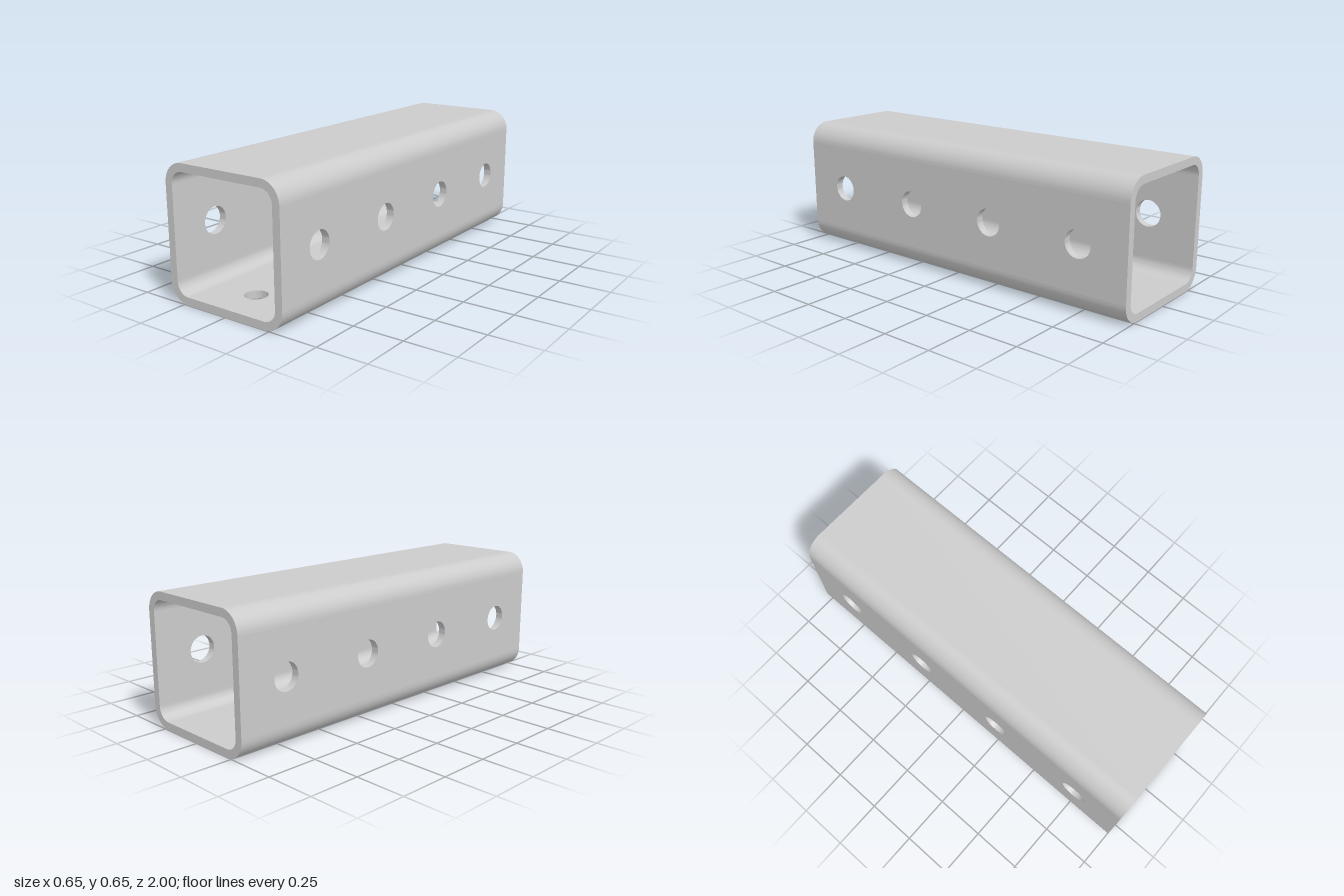
import * as THREE from 'three';
import { toCreasedNormals } from 'three/addons/utils/BufferGeometryUtils.js';

const LENGTH = 2, SIZE = 0.652, WALL = 0.039, RADIUS = 0.101;
const HALF = SIZE / 2;
const FLAT = HALF - RADIUS; // half width of the flat part of each wall

// Remove the faces where a wall butts against the rounded corners
function dropSeams(geometry) {
  const p = geometry.attributes.position;
  const kept = [];
  for (let i = 0; i < p.count; i += 3) {
    const onSeam = [0, 1, 2].every((k) => Math.abs(Math.abs(p.getX(i + k)) - FLAT) < 1e-5)
      && Math.abs(p.getX(i) - p.getX(i + 1)) < 1e-5 && Math.abs(p.getX(i) - p.getX(i + 2)) < 1e-5;
    if (onSeam) continue;
    for (let k = 0; k < 3; k++) kept.push(p.getX(i + k), p.getY(i + k), p.getZ(i + k));
  }
  const result = new THREE.BufferGeometry();
  result.setAttribute('position', new THREE.Float32BufferAttribute(kept, 3));
  return result;
}

// Flat wall with round holes, turned about the tube's axis from the top position
function wallGeometry(angle, holes, radius) {
  const shape = new THREE.Shape([
    new THREE.Vector2(-FLAT, -LENGTH / 2),
    new THREE.Vector2(FLAT, -LENGTH / 2),
    new THREE.Vector2(FLAT, LENGTH / 2),
    new THREE.Vector2(-FLAT, LENGTH / 2),
  ]);
  for (const z of holes) {
    shape.holes.push(new THREE.Path().absarc(0, -z, radius, 0, Math.PI * 2, true));
  }
  const slab = new THREE.ExtrudeGeometry(shape, { depth: WALL, bevelEnabled: false, curveSegments: 24 });
  return toCreasedNormals(dropSeams(slab), 0.6)
    .translate(0, 0, HALF - WALL)
    .rotateX(-Math.PI / 2)
    .rotateZ(angle)
    .translate(0, HALF, 0);
}

// Quarter-round corner running the whole length
function cornerGeometry(angle) {
  const inner = RADIUS - WALL, h = LENGTH / 2;
  const profile = [[RADIUS, -h], [RADIUS, h], [inner, h], [inner, -h], [RADIUS, -h]]
    .map(([r, y]) => new THREE.Vector2(r, y));
  const quarter = new THREE.LatheGeometry(profile, 16, 0, Math.PI / 2);
  return toCreasedNormals(quarter, 0.6)
    .rotateX(Math.PI / 2)
    .translate(FLAT, -FLAT, 0)
    .rotateZ(angle)
    .translate(0, HALF, 0);
}

export function createModel() {
  const group = new THREE.Group();
  group.name = 'squareTube';
  const material = new THREE.MeshStandardMaterial({ color: 0xcccccc });
  const add = (name, geometry) => {
    const mesh = new THREE.Mesh(geometry, material);
    mesh.name = name;
    group.add(mesh);
  };

  // Walls: four holes through each side, one smaller hole underneath
  const sideHoles = [-0.75, -0.25, 0.25, 0.75];
  add('topWall', wallGeometry(0, [], 0));
  add('leftWall', wallGeometry(-Math.PI / 2, sideHoles, 0.067));
  add('rightWall', wallGeometry(Math.PI / 2, sideHoles, 0.067));
  add('bottomWall', wallGeometry(Math.PI, [0.8], 0.055));

  // Rounded corners
  ['bottomLeftCorner', 'topLeftCorner', 'topRightCorner', 'bottomRightCorner'].forEach((name, i) => {
    add(name, cornerGeometry(i * Math.PI / 2));
  });
  return group;
}
